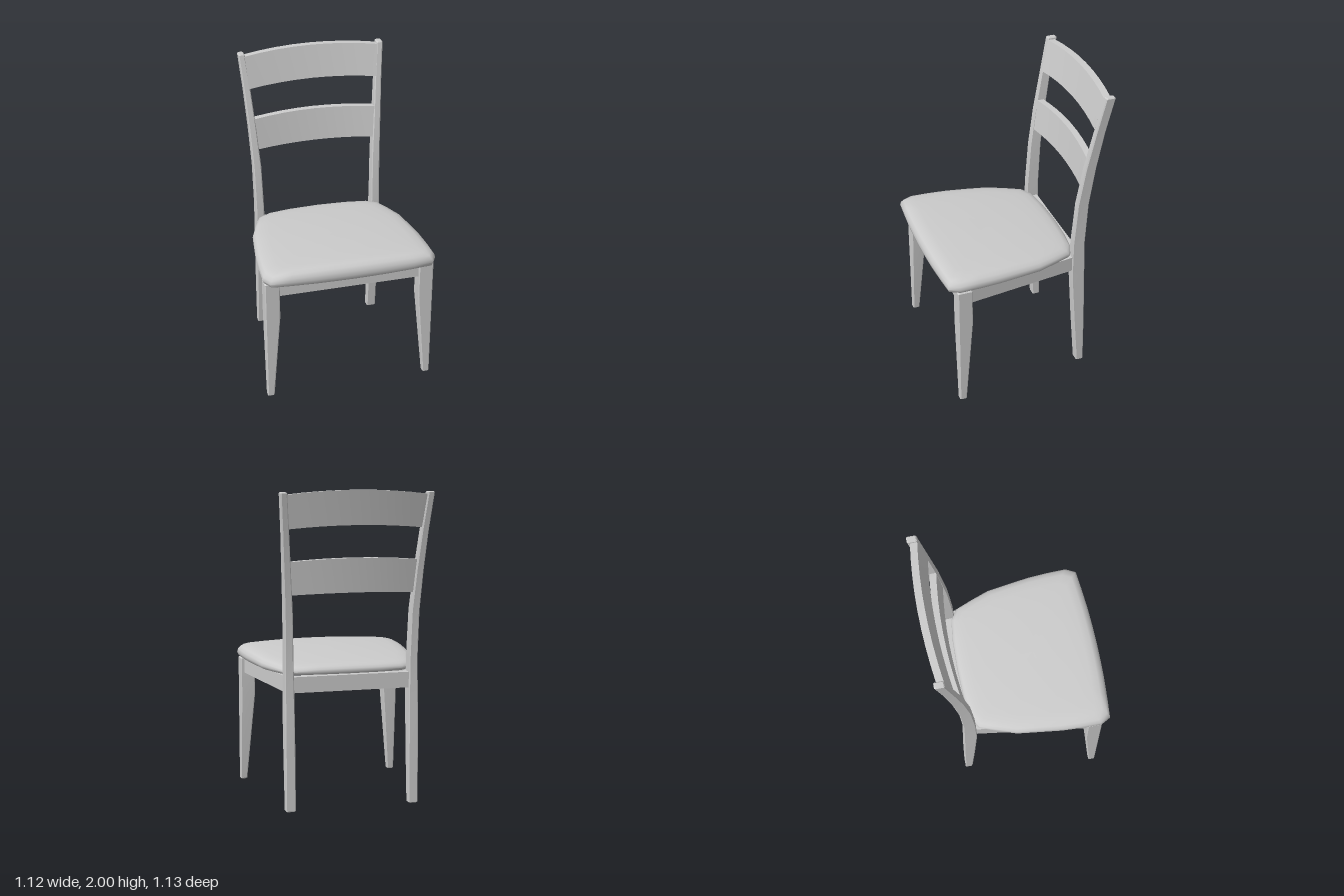
import * as THREE from 'three';
import { toCreasedNormals } from 'three/addons/utils/BufferGeometryUtils.js';

const material = new THREE.MeshStandardMaterial({ color: 0xcccccc });

// Skin a list of matching rings and close both ends.
// Rings run counter-clockwise seen from the last ring's side.
function loft(name, rings, crease = 0.5) {
  const n = rings[0].length;
  const index = [];
  for (let i = 0; i < rings.length - 1; i++) {
    for (let j = 0; j < n; j++) {
      const k = (j + 1) % n;
      const a = i * n + j, b = i * n + k, c = b + n, d = a + n;
      index.push(a, b, c, a, c, d);
    }
  }
  const last = (rings.length - 1) * n;
  for (let j = 1; j < n - 1; j++) {
    index.push(0, j + 1, j, last, last + j, last + j + 1);
  }
  const geometry = new THREE.BufferGeometry();
  geometry.setAttribute('position', new THREE.Float32BufferAttribute(rings.flat(2), 3));
  geometry.setIndex(index);
  const mesh = new THREE.Mesh(toCreasedNormals(geometry, crease), material);
  mesh.name = name;
  return mesh;
}

// Horizontal rectangle with small chamfered corners
function post(y, x0, x1, z0, z1, c = 0.006) {
  return [
    [x0 + c, y, z1], [x1 - c, y, z1], [x1, y, z1 - c], [x1, y, z0 + c],
    [x1 - c, y, z0], [x0 + c, y, z0], [x0, y, z0 + c], [x0, y, z1 - c],
  ];
}

// Leg from rows of [y, inner x, outer x, back z, front z], with eased ends
function leg(name, rows, side) {
  const e = 0.006;
  const ease = ([y, x0, x1, z0, z1], dy) => [y + dy, x0 + e, x1 - e, z0 + e, z1 - e];
  const first = rows[0], end = rows[rows.length - 1];
  const all = [ease(first, -e), ...rows, ease(end, e)];
  return loft(name, all.map(([y, x0, x1, z0, z1]) =>
    side > 0 ? post(y, x0, x1, z0, z1) : post(y, -x1, -x0, z0, z1)));
}

// Bowed back slat; bow pushes the middle backward, arch lifts it
function slat(name, s) {
  const rings = [];
  const steps = 8;
  for (let i = 0; i <= steps; i++) {
    const t = (i / steps) * 2 - 1;
    const dz = 0.03 * t * t;
    const low = s.y0 - s.arch0 * t * t, high = s.y1 - s.arch1 * t * t;
    const xl = s.x0 * t, xh = s.x1 * t;
    rings.push([
      [xl, low, s.z0 + dz], [xl, low, s.z0 - s.depth + dz],
      [xh, high, s.z1 - s.depth + dz], [xh, high, s.z1 + dz],
    ]);
  }
  return loft(name, rings);
}

// Seat-frame board from a four-corner plan
function apron(name, plan) {
  return loft(name, [0.75, 0.85].map((y) => plan.map(([x, z]) => [x, y, z])));
}

// Upholstered cushion: scaled copies of one plan outline, crowned on top
function cushion() {
  const half = [
    [0, 0.562], [0.13, 0.56], [0.25, 0.556], [0.4, 0.546], [0.525, 0.535],
    [0.56, 0.47], [0.557, 0.34], [0.549, 0.21], [0.53, 0.065], [0.51, -0.08],
    [0.468, -0.2], [0.422, -0.315], [0.35, -0.358], [0.2, -0.375],
  ];
  const mirrored = half.slice(1).reverse().map(([x, z]) => [-x, z]);
  const outline = [...half, [0, -0.381], ...mirrored];
  const cz = 0.09;
  const crown = (x, z) => {
    const u = Math.max(0, (0.45 - z) / 0.83);
    return 0.956 - 0.05 * u * u - 0.065 * x * x;
  };
  // [plan scale, share of the cushion height]
  const levels = [[0.955, 0], [0.985, 0.12], [1, 0.38], [0.99, 0.62], [0.96, 0.86],
    [0.9, 0.97], [0.8, 1], [0.6, 1], [0.35, 1], [0.08, 1]];
  const rings = levels.map(([s, h]) => outline.map(([px, pz]) => {
    const x = px * s, z = cz + (pz - cz) * s;
    return [x, 0.85 + (crown(x, z) - 0.85) * h, z];
  }));
  return loft('seatCushion', rings, 1.0);
}

export function createModel() {
  const chair = new THREE.Group();
  chair.name = 'diningChair';

  const frontRows = [
    [0.006, 0.505, 0.55, 0.435, 0.48],
    [0.6, 0.455, 0.55, 0.385, 0.48],
    [0.846, 0.455, 0.55, 0.385, 0.48],
  ];
  const backRows = [
    [0.006, 0.37, 0.433, -0.435, -0.385],
    [0.35, 0.37, 0.433, -0.43, -0.357],
    [0.7, 0.372, 0.432, -0.421, -0.332],
    [0.95, 0.376, 0.43, -0.415, -0.334],
    [1.24, 0.382, 0.434, -0.43, -0.355],
    [1.5, 0.4, 0.447, -0.463, -0.393],
    [1.75, 0.42, 0.463, -0.505, -0.443],
    [1.982, 0.441, 0.482, -0.553, -0.491],
  ];

  for (const side of [1, -1]) {
    const label = side > 0 ? 'Left' : 'Right';
    chair.add(leg('front' + label + 'Leg', frontRows, side));
    chair.add(leg('back' + label + 'Leg', backRows, side));

    // Side aprons taper inward toward the back
    const plan = [[0.465, 0.4], [0.53, 0.4], [0.42, -0.36], [0.355, -0.36]];
    chair.add(apron('side' + label + 'Apron',
      side > 0 ? plan : plan.map(([x, z]) => [-x, z]).reverse()));
  }

  // Front and back aprons
  chair.add(apron('frontApron', [[-0.47, 0.465], [0.47, 0.465], [0.47, 0.4], [-0.47, 0.4]]));
  chair.add(apron('backApron', [[-0.385, -0.345], [0.385, -0.345], [0.385, -0.405], [-0.385, -0.405]]));

  chair.add(cushion());

  // Back slats
  chair.add(slat('topSlat', {
    y0: 1.787, y1: 2, arch0: 0.022, arch1: 0.028, x0: 0.43, x1: 0.45,
    z0: -0.475, z1: -0.521, depth: 0.044,
  }));
  chair.add(slat('lowerSlat', {
    y0: 1.37, y1: 1.585, arch0: 0.011, arch1: 0.02, x0: 0.4, x1: 0.415,
    z0: -0.41, z1: -0.438, depth: 0.042,
  }));

  return chair;
}
